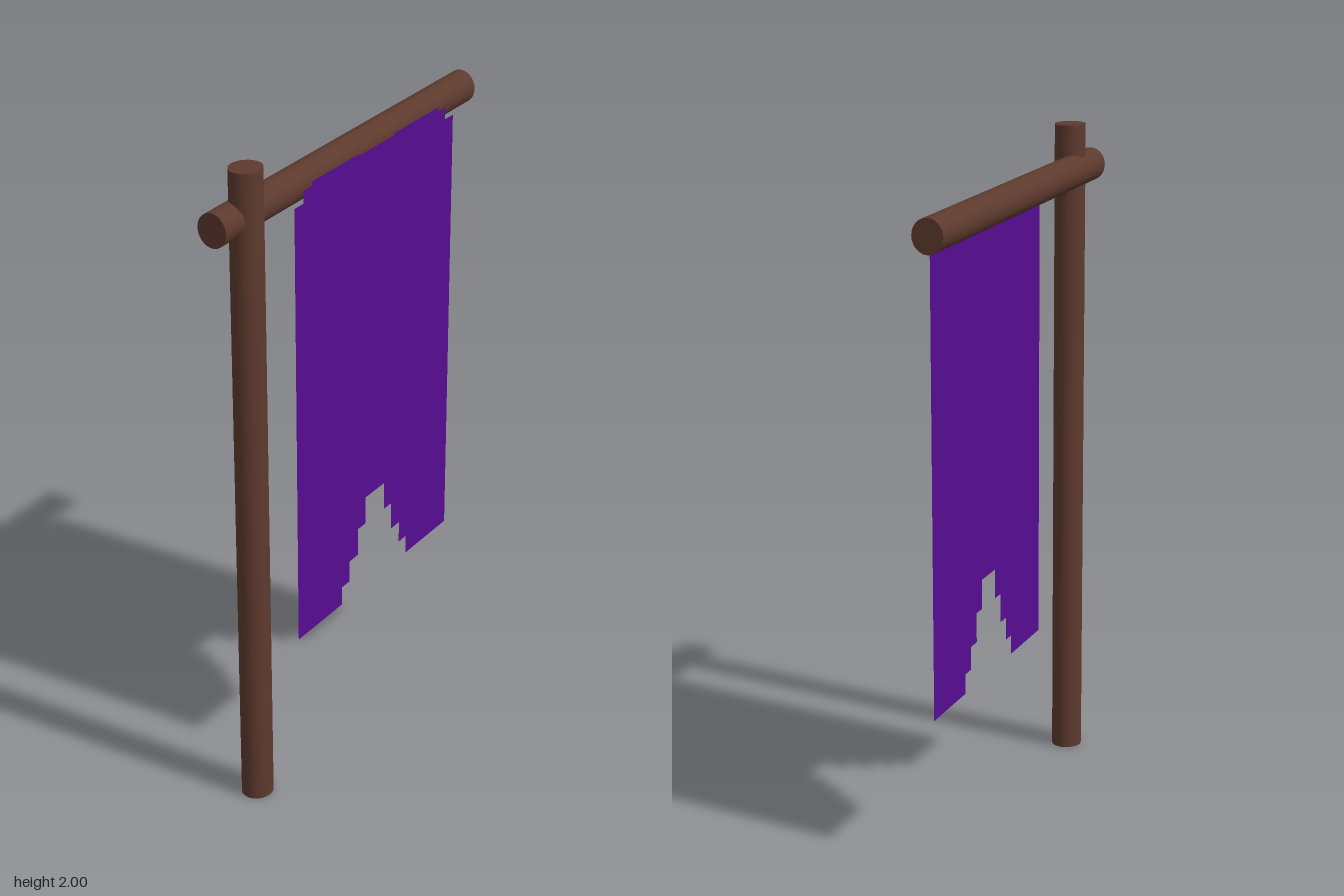
import * as THREE from 'three';

const wood = new THREE.MeshStandardMaterial({ color: 0x5e3a2e });
const fabric = new THREE.MeshStandardMaterial({ color: 0x560c92, side: THREE.DoubleSide });

function rod(name, length) {
  const mesh = new THREE.Mesh(new THREE.CylinderGeometry(0.05, 0.05, length, 32), wood);
  mesh.name = name;
  return mesh;
}

// Mirrors a half outline (x >= 0) into a closed shape
function mirroredShape(half) {
  const points = half.map(([x, y]) => new THREE.Vector2(x, y));
  const mirrored = half.map(([x, y]) => new THREE.Vector2(-x, y)).reverse();
  return new THREE.Shape([...points, ...mirrored]);
}

export function createModel() {
  const model = new THREE.Group();
  model.name = 'bannerStand';

  // Everything is laid out along x, then turned about the vertical axis
  const stand = new THREE.Group();
  stand.name = 'stand';
  stand.rotation.y = THREE.MathUtils.degToRad(21.4);
  model.add(stand);

  // Upright pole, slightly oval
  const pole = rod('pole', 2);
  pole.scale.z = 0.92;
  pole.position.set(-0.501, 1, 0.018);
  stand.add(pole);

  // Crossbar
  const crossbar = rod('crossbar', 1.258);
  crossbar.rotation.z = Math.PI / 2;
  crossbar.scale.z = 0.92;
  crossbar.position.set(0, 1.86, -0.002);
  stand.add(crossbar);

  // Hanging cloth with stepped top corners and a stepped notch at the hem
  const outline = [
    [0.052, 0.75], [0.052, 0.66], [0.093, 0.66], [0.093, 0.57],
    [0.139, 0.57], [0.139, 0.5], [0.18, 0.5], [0.18, 0.44],
    [0.411, 0.44], [0.411, 1.82], [0.367, 1.82], [0.367, 1.858],
    [0.325, 1.858], [0.325, 1.87], [0.09, 1.87], [0.09, 1.864],
  ];
  const cloth = new THREE.Mesh(new THREE.ShapeGeometry(mirroredShape(outline)), fabric);
  cloth.name = 'cloth';
  cloth.position.set(0.0925, 0, 0.046);
  stand.add(cloth);

  return model;
}
